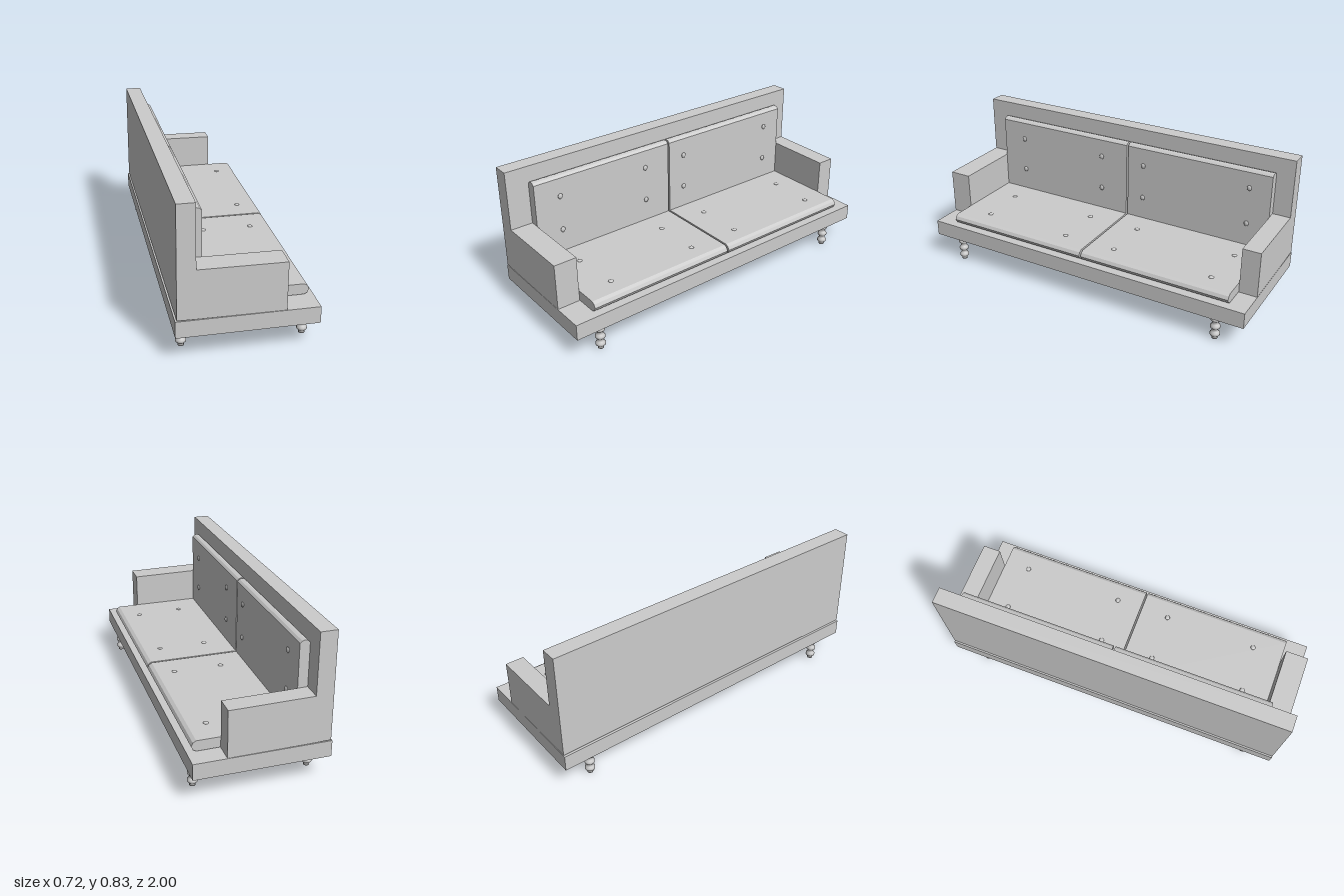
import * as THREE from 'three';

const material = new THREE.MeshStandardMaterial({ color: 0xcccccc });

export function createModel() {
  const sofa = new THREE.Group();
  sofa.name = 'sofa';

  const add = (name, geometry, x = 0, y = 0, z = 0) => {
    const mesh = new THREE.Mesh(geometry, material);
    mesh.name = name;
    mesh.position.set(x, y, z);
    sofa.add(mesh);
    return mesh;
  };

  // Side profile in x/y, extruded from z0 to z1
  const addProfile = (name, points, z0, z1) => {
    const shape = new THREE.Shape(points.map(([x, y]) => new THREE.Vector2(x, y)));
    const geometry = new THREE.ExtrudeGeometry(shape, { depth: z1 - z0, bevelEnabled: false });
    return add(name, geometry, 0, 0, z0);
  };

  // Platform
  add('base', new THREE.BoxGeometry(0.72, 0.09, 2), 0, 0.188, 0);

  // Backrest and arms, leaning very slightly
  addProfile('backrest', [[-0.352, 0.239], [-0.257, 0.237], [-0.257, 0.833], [-0.348, 0.833]], -1, 1);
  const arm = [[-0.257, 0.237], [0.187, 0.235], [0.187, 0.494], [-0.257, 0.498]];
  addProfile('leftArm', arm, -1, -0.898);
  addProfile('rightArm', arm, 0.872, 1);

  // Two pairs of cushions with rounded outer edges
  const seat = [[-0.257, 0.237], [0.313, 0.237], [0.328, 0.247], [0.337, 0.266],
    [0.328, 0.285], [0.311, 0.295], [-0.257, 0.295]];
  const back = [[-0.257, 0.295], [-0.204, 0.295], [-0.204, 0.737], [-0.216, 0.748],
    [-0.231, 0.752], [-0.246, 0.748], [-0.257, 0.737]];
  for (const [z0, z1] of [[-0.898, -0.018], [-0.008, 0.872]]) {
    addProfile('seatCushion', seat, z0, z1);
    addProfile('backCushion', back, z0, z1);
  }

  // Flattened upholstery buttons
  const button = new THREE.SphereGeometry(0.016, 12, 8);
  for (const [z, frontZ] of [[-0.77, -0.752], [-0.163, -0.163], [0.156, 0.156], [0.715, 0.695]]) {
    add('seatButton', button, -0.057, 0.295, z).scale.set(0.9, 0.45, 0.9);
    add('seatButton', button, 0.216, 0.295, frontZ).scale.set(0.9, 0.45, 0.9);
  }
  for (const [z, topY] of [[-0.772, 0.647], [-0.12, 0.634], [0.16, 0.634], [0.722, 0.634]]) {
    add('backButton', button, -0.199, 0.43, z).scale.set(0.45, 1, 0.9);
    add('backButton', button, -0.199, topY, z).scale.set(0.45, 1, 0.9);
  }

  // Turned legs with three beads
  const profile = [[0, 0], [0.016, 0], [0.016, 0.011]];
  for (const y of [0.029, 0.074, 0.12]) {
    profile.push([0.019, y - 0.014], [0.027, y - 0.006], [0.027, y + 0.006], [0.019, y + 0.014]);
    if (y < 0.1) profile.push([0.016, y + 0.0225]);
  }
  profile.push([0.018, 0.146]);
  const leg = new THREE.LatheGeometry(profile.map(([r, y]) => new THREE.Vector2(r, y)), 16);
  for (const [x, z] of [[-0.308, -0.83], [-0.308, 0.835], [0.312, -0.83], [0.318, 0.842]]) {
    add(x > 0 ? 'frontLeg' : 'rearLeg', leg, x, 0, z);
  }

  return sofa;
}
